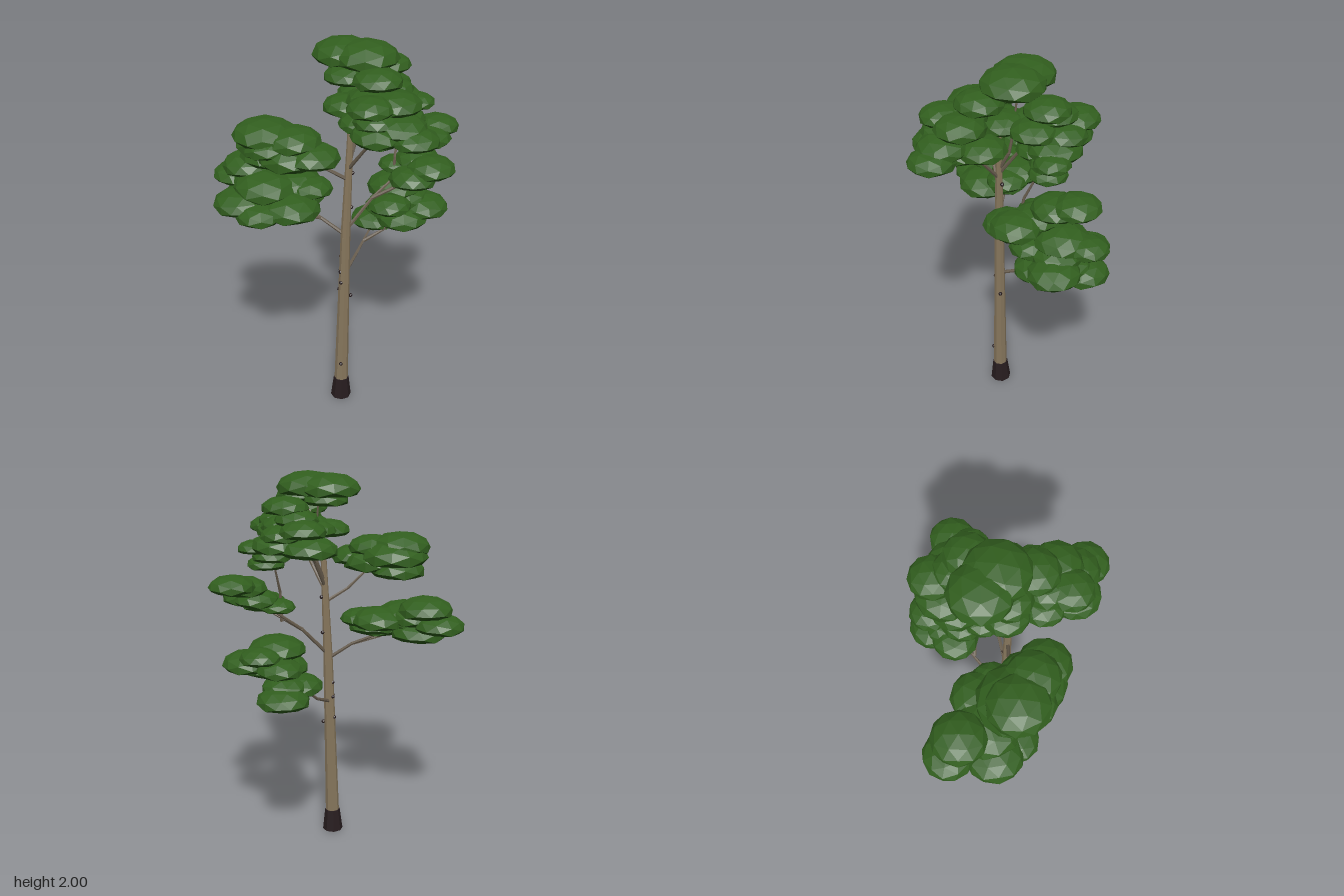
import * as THREE from 'three';

function material(name, color) {
  const m = new THREE.MeshStandardMaterial({ color });
  m.name = name;
  return m;
}
const bark = material('bark', 0x85755b);
const darkBark = material('dark bark', 0x261c1e);
const branchBark = material('branch bark', 0x665b4c);
const leaf = material('leaf green', 0x315e1e);
const leafShade = material('deep leaf green', 0x1e430e);

// faceted normals
function facet(geo) {
  const g = geo.index ? geo.toNonIndexed() : geo;
  g.computeVertexNormals();
  return g;
}

// tapered limb between two points
function limb(a, b, ra, rb, sides, mat, name) {
  const from = new THREE.Vector3(...a), to = new THREE.Vector3(...b);
  const dir = to.clone().sub(from);
  const mesh = new THREE.Mesh(facet(new THREE.CylinderGeometry(rb, ra, dir.length(), sides)), mat);
  mesh.position.copy(from).add(to).multiplyScalar(0.5);
  mesh.quaternion.setFromUnitVectors(new THREE.Vector3(0, 1, 0), dir.normalize());
  mesh.name = name;
  return mesh;
}

// unit leaf dome standing on y = 0, split into its upper faces and its flat underside
function domeGeometries() {
  const geo = new THREE.IcosahedronGeometry(1, 1);
  const p = geo.attributes.position;
  for (let i = 0; i < p.count; i++) p.setY(i, (Math.max(p.getY(i), -0.28) + 0.28) * 0.52);
  facet(geo);
  const parts = [[], []];
  for (let i = 0; i < p.count; i += 3) {
    const part = parts[geo.attributes.normal.getY(i) < -0.3 ? 1 : 0];
    for (let k = i; k < i + 3; k++) part.push(p.getX(k), p.getY(k), p.getZ(k));
  }
  return parts.map((points) => {
    const g = new THREE.BufferGeometry();
    g.setAttribute('position', new THREE.Float32BufferAttribute(points, 3));
    return facet(g);
  });
}

// leaf domes per bough: x, base y, z, radius
const foliage = {
  crownFoliage: [
    [0, 1.895, -0.02, 0.155], [0.02, 1.895, 0.1, 0.16], [-0.07, 1.84, 0.24, 0.12], [-0.08, 1.83, 0.07, 0.115],
    [-0.02, 1.7, 0.12, 0.115], [0.07, 1.7, 0.02, 0.11],
  ],
  frontFoliage: [
    [-0.14, 1.645, 0.51, 0.115], [-0.14, 1.68, 0.43, 0.125], [-0.22, 1.65, 0.36, 0.125], [-0.22, 1.77, 0.32, 0.112],
    [-0.09, 1.76, 0.36, 0.125], [0, 1.66, 0.32, 0.12], [-0.14, 1.6, 0.3, 0.12], [-0.16, 1.66, 0.22, 0.11],
    [-0.08, 1.68, 0.06, 0.115], [-0.2, 1.71, 0.34, 0.11], [-0.12, 1.7, 0.29, 0.12], [-0.14, 1.77, 0.25, 0.11],
  ],
  upperLeftFoliage: [
    [0.2, 1.82, 0.09, 0.115], [0.26, 1.73, -0.07, 0.115], [0.2, 1.63, -0.06, 0.14], [0.25, 1.64, 0.1, 0.135],
    [0.16, 1.72, 0.14, 0.115], [0.26, 1.55, 0.17, 0.095], [0.3, 1.63, 0.2, 0.09], [0.2, 1.77, 0.02, 0.11],
    [0.27, 1.7, 0.05, 0.11], [0.15, 1.61, 0.1, 0.1], [0.25, 1.59, 0.14, 0.1],
  ],
  middleLeftFoliage: [
    [0.45, 1.46, 0.22, 0.115], [0.35, 1.43, 0.24, 0.12], [0.21, 1.34, 0.36, 0.125],
    [0.13, 1.3, 0.31, 0.12], [0.25, 1.35, 0.25, 0.115], [0.19, 1.32, 0.16, 0.09],
  ],
  lowerLeftFoliage: [
    [0.29, 1.13, 0.08, 0.145], [0.43, 1.13, 0.06, 0.105], [0.16, 1.09, 0.15, 0.115], [0.34, 1.04, 0.23, 0.135],
    [0.23, 1.0, 0.18, 0.135], [0.36, 0.905, -0.02, 0.135], [0.22, 0.94, 0.0, 0.125], [0.38, 1.07, -0.02, 0.115],
    [0.3, 1.08, 0.14, 0.13], [0.24, 1.03, 0.08, 0.125], [0.3, 0.95, 0.02, 0.12],
  ],
  upperRightFoliage: [
    [-0.40, 1.57, -0.17, 0.155], [-0.36, 1.52, -0.16, 0.178], [-0.35, 1.48, -0.04, 0.172],
    [-0.33, 1.5, 0.07, 0.132], [-0.36, 1.455, -0.18, 0.145], [-0.42, 1.53, -0.12, 0.13], [-0.35, 1.56, -0.03, 0.135],
  ],
  lowerRightFoliage: [
    [-0.27, 1.3, -0.42, 0.14], [-0.28, 1.23, -0.5, 0.128], [-0.17, 1.23, -0.2, 0.14], [-0.31, 1.23, -0.27, 0.165],
    [-0.42, 1.17, -0.33, 0.145], [-0.29, 1.17, -0.37, 0.145], [-0.3, 1.16, -0.11, 0.15], [-0.43, 1.15, -0.2, 0.12],
    [-0.28, 1.25, -0.35, 0.13], [-0.2, 1.19, -0.14, 0.125], [-0.16, 1.23, -0.1, 0.11],
  ],
};

// boughs: path points
const boughs = [
  [[-0.1, 0.77, 0.06], [0.04, 0.83, 0.03], [0.16, 0.92, 0.02], [0.32, 0.94, 0]],
  [[0.1, 0.88, 0.03], [0.17, 0.94, 0.1], [0.26, 1.06, 0.18]],
  [[-0.09, 1.04, 0.07], [0.04, 1.19, 0.13], [0.16, 1.29, 0.19], [0.3, 1.38, 0.22], [0.42, 1.48, 0.22]],
  [[0.04, 1.19, 0.13], [0.13, 1.28, 0.26], [0.2, 1.37, 0.34]],
  [[0.12, 1.24, 0.2], [0.14, 1.4, 0.19], [0.22, 1.58, 0.16]],
  [[-0.095, 1.01, 0.07], [-0.16, 1.1, -0.04], [-0.24, 1.19, -0.22], [-0.28, 1.3, -0.4]],
  [[-0.16, 1.1, -0.04], [-0.27, 1.13, -0.13], [-0.38, 1.18, -0.24]],
  [[-0.085, 1.32, 0.08], [-0.17, 1.39, 0], [-0.25, 1.48, -0.06], [-0.36, 1.56, -0.15]],
  [[-0.085, 1.4, 0.08], [0.02, 1.55, 0.06], [0.12, 1.64, 0.03], [0.22, 1.73, 0]],
  [[-0.08, 1.43, 0.08], [-0.02, 1.54, 0.08], [0, 1.66, 0.07], [0.01, 1.92, 0.04]],
  [[-0.085, 1.38, 0.08], [-0.1, 1.5, 0.18], [-0.13, 1.63, 0.3], [-0.14, 1.69, 0.46]],
  [[-0.075, 1.6, 0.085], [-0.07, 1.75, 0.14], [-0.07, 1.85, 0.22]],
];

// trunk centre and radius at three heights
const trunkPath = [[-0.115, 0.11, 0.053], [-0.095, 1, 0.068], [-0.075, 1.62, 0.086]];
const trunkRadii = [0.037, 0.025, 0.014];

// knots on the trunk: height, angle
const knots = [[0.23, 2.6], [0.65, 0.9], [0.68, 4.4], [0.74, 3.2], [0.8, 3.5], [0.8, 4.6], [0.88, 4.4],
  [1.16, 0.1], [1.35, 0.2]];

export function createModel() {
  const tree = new THREE.Group();
  tree.name = 'tree';

  // trunk and dark foot
  tree.add(limb([-0.115, 0, 0.05], [-0.115, 0.12, 0.053], 0.055, 0.041, 8, darkBark, 'trunkFoot'));
  for (let i = 0; i < 2; i++) {
    tree.add(limb(trunkPath[i], trunkPath[i + 1], trunkRadii[i], trunkRadii[i + 1], 8, bark, 'trunk'));
  }

  // knots
  const knotGeo = facet(new THREE.IcosahedronGeometry(0.011, 0));
  for (const [y, angle] of knots) {
    const t = y / 1.6, r = 0.041 - 0.023 * t;
    const knot = new THREE.Mesh(knotGeo, darkBark);
    knot.name = 'knot';
    knot.position.set(-0.116 + 0.041 * t + r * Math.cos(angle), y, 0.05 + 0.036 * t + r * Math.sin(angle));
    tree.add(knot);
  }

  // boughs, thinning toward the tip
  for (const path of boughs) {
    const bough = new THREE.Group();
    bough.name = 'bough';
    const n = path.length - 1;
    const r = (k) => 0.01 - 0.006 * k / n;
    for (let i = 0; i < n; i++) {
      bough.add(limb(path[i], path[i + 1], r(i), r(i + 1), 6, branchBark, 'boughSegment'));
    }
    tree.add(bough);
  }

  // foliage domes
  const [upper, under] = domeGeometries();
  let turn = 0;
  for (const [name, list] of Object.entries(foliage)) {
    const group = new THREE.Group();
    group.name = name;
    for (const [x, y, z, r] of list) {
      const puff = new THREE.Group();
      puff.name = 'leafDome';
      const top = new THREE.Mesh(upper, leaf);
      top.name = 'domeTop';
      const bottom = new THREE.Mesh(under, leafShade);
      bottom.name = 'domeUnderside';
      puff.add(top, bottom);
      puff.position.set(x, y, z);
      puff.scale.setScalar(r);
      puff.rotation.y = turn += 2.4;
      group.add(puff);
    }
    tree.add(group);
  }
  return tree;
}
